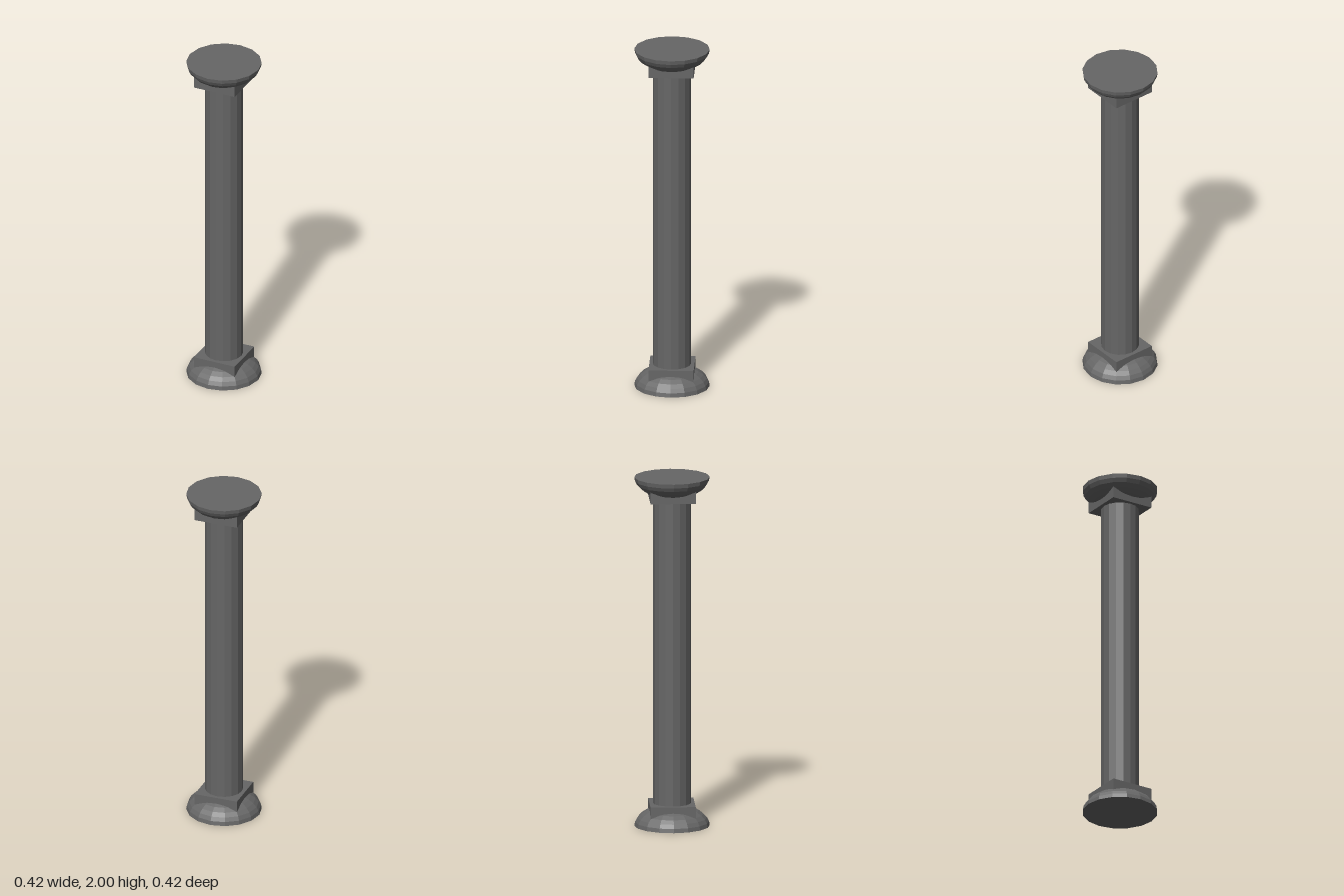
import * as THREE from 'three';

const SIDES = 16;

export function createModel() {
  const column = new THREE.Group();
  column.name = 'column';
  const stone = new THREE.MeshStandardMaterial({ color: 0x666666, flatShading: true });

  const add = (parent, name, geometry, y) => {
    const mesh = new THREE.Mesh(geometry, stone);
    mesh.name = name;
    mesh.position.y = y;
    parent.add(mesh);
  };

  // Shaft, its ends sunk into the square blocks
  add(column, 'shaft', new THREE.CylinderGeometry(0.107, 0.107, 1.8, SIDES), 1);

  // Flattened half-sphere with a closed flat underside
  const profile = [new THREE.Vector2(0, 0)];
  const rings = 8;
  for (let i = 0; i <= rings; i++) {
    const a = (i / rings) * Math.PI / 2;
    profile.push(new THREE.Vector2(i === rings ? 0 : 0.212 * Math.cos(a), 0.118 * Math.sin(a)));
  }
  const dome = new THREE.LatheGeometry(profile, SIDES);
  const block = new THREE.BoxGeometry(0.254, 0.09, 0.254);

  // Base, and the same assembly turned over as the capital
  for (const name of ['base', 'capital']) {
    const end = new THREE.Group();
    end.name = name;
    add(end, name + 'Dome', dome, 0);
    add(end, name + 'Block', block, 0.085);
    if (name === 'capital') {
      end.rotation.x = Math.PI;
      end.position.y = 2;
    }
    column.add(end);
  }
  return column;
}
